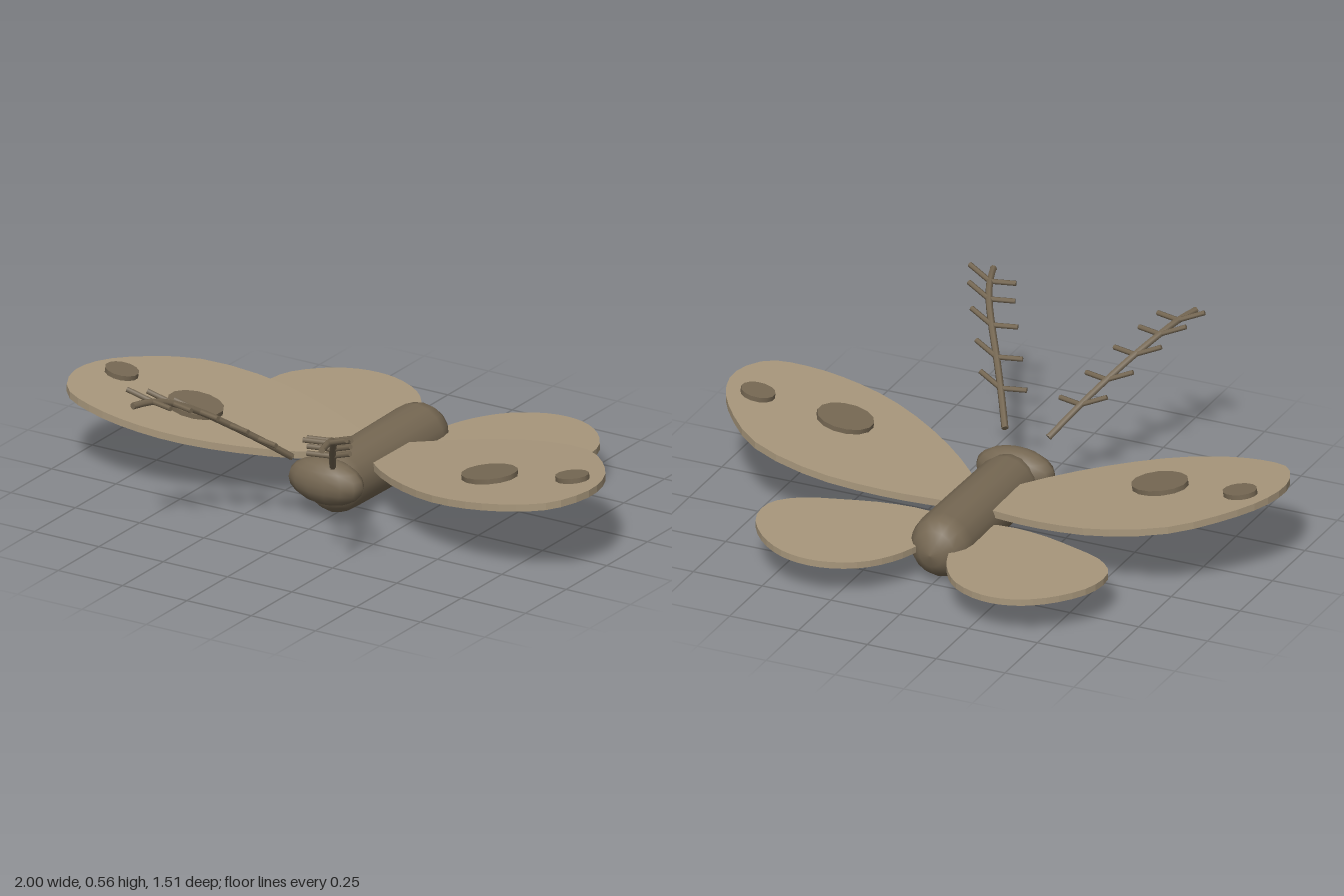
import * as THREE from 'three';

const wingMat = new THREE.MeshStandardMaterial({ color: 0xa8977c });
wingMat.name = 'wing tan';
const bodyMat = new THREE.MeshStandardMaterial({ color: 0x766853 });
bodyMat.name = 'body brown';

const FORE_TOP = 0.155, FORE_SLOPE = 0.15;

// outlines as [x, z] seen from above, for the left side
const FORE = [[0.02, -0.1], [0.05, -0.2], [0.13, -0.24], [0.3, -0.295], [0.52, -0.325], [0.75, -0.275],
  [0.9, -0.14], [0.98, -0.01], [0.998, 0.12], [0.94, 0.245], [0.83, 0.29], [0.68, 0.3], [0.5, 0.265], [0.3, 0.165], [0.12, 0.025]];
const HIND = [[0.03, -0.32], [0.1, -0.25], [0.25, -0.255], [0.42, -0.31], [0.55, -0.37], [0.615, -0.45],
  [0.61, -0.565], [0.54, -0.67], [0.45, -0.735], [0.36, -0.757], [0.27, -0.745], [0.17, -0.69], [0.1, -0.6], [0.06, -0.5]];

function add(group, name, geometry, material) {
  const mesh = new THREE.Mesh(geometry, material);
  mesh.name = name;
  group.add(mesh);
  return mesh;
}

// flat plate from an outline, sheared so it rises towards the tip
function wingGeometry(outline, s, top, slope, thick) {
  const curve = new THREE.CatmullRomCurve3(outline.map(([x, z]) => new THREE.Vector3(s * x, -z, 0)), true);
  const shape = new THREE.Shape(curve.getPoints(36).slice(0, -1).map(p => new THREE.Vector2(p.x, p.y)));
  const g = new THREE.ExtrudeGeometry(shape, { depth: thick, bevelEnabled: false });
  g.rotateX(-Math.PI / 2);
  const p = g.attributes.position;
  for (let i = 0; i < p.count; i++) p.setY(i, p.getY(i) + top - thick + slope * Math.abs(p.getX(i)));
  g.computeVertexNormals();
  return g;
}

// straight thin rod between two points
function rodGeometry(a, b, r) {
  const d = b.clone().sub(a);
  const g = new THREE.CylinderGeometry(r, r, d.length(), 6);
  g.applyQuaternion(new THREE.Quaternion().setFromUnitVectors(new THREE.Vector3(0, 1, 0), d.normalize()));
  const m = a.clone().add(b).multiplyScalar(0.5);
  return g.translate(m.x, m.y, m.z);
}

function antenna(s) {
  const group = new THREE.Group();
  const v = (x, y, z) => new THREE.Vector3(s * x, y, z);
  const path = new THREE.CatmullRomCurve3([v(0.08, 0.235, 0.23), v(0.145, 0.32, 0.335), v(0.2, 0.385, 0.42),
    v(0.26, 0.45, 0.51), v(0.31, 0.497, 0.595), v(0.342, 0.522, 0.67), v(0.367, 0.528, 0.75)]);
  add(group, 'antennaStem', new THREE.TubeGeometry(path, 16, 0.012, 6), bodyMat);
  // end caps of the stem
  for (const t of [0, 1]) {
    const c = path.getPointAt(t), d = path.getTangentAt(t).multiplyScalar(0.002);
    add(group, 'antennaEnd', rodGeometry(c.clone().sub(d), c.clone().add(d), 0.012), bodyMat);
  }
  // paired barbs swept forward
  for (const c of path.points.slice(1, 6)) {
    add(group, 'outerBarb', rodGeometry(c, c.clone().add(v(0.085, 0.034, 0.024)), 0.009), bodyMat);
    add(group, 'innerBarb', rodGeometry(c, c.clone().add(v(-0.085, 0, 0.022)), 0.009), bodyMat);
  }
  return group;
}

export function createModel() {
  const model = new THREE.Group();
  model.name = 'moth';

  // body: long capsule, slightly slimmer at the front
  const profile = [];
  for (let i = 0; i <= 4; i++) {
    const a = i * Math.PI / 8;
    profile.push(new THREE.Vector2(0.104 * Math.sin(a), -0.07 - 0.104 * Math.cos(a)));
  }
  for (let i = 4; i >= 0; i--) {
    const a = i * Math.PI / 8;
    profile.push(new THREE.Vector2(0.11 * Math.sin(a), 0.41 + 0.11 * Math.cos(a)));
  }
  const body = new THREE.LatheGeometry(profile, 16);
  body.rotateX(-Math.PI / 2);
  add(model, 'body', body, bodyMat).position.y = 0.112;

  // head: wide flattened ball
  const head = add(model, 'head', new THREE.SphereGeometry(1, 14, 10), bodyMat);
  head.scale.set(0.142, 0.08, 0.07);
  head.position.set(0, 0.137, 0.143);

  for (const s of [1, -1]) {
    const side = s > 0 ? 'left' : 'right';
    add(model, side + 'Forewing', wingGeometry(FORE, s, FORE_TOP, FORE_SLOPE, 0.025), wingMat);
    add(model, side + 'Hindwing', wingGeometry(HIND, s, 0.125, 0.04, 0.023), wingMat);

    // raised round wing spots: x, z, radius along x, radius along z
    for (const [x, z, rx, rz] of [[0.572, 0.043, 0.098, 0.085], [0.876, 0.015, 0.059, 0.051]]) {
      const spot = add(model, side + 'WingSpot', new THREE.CylinderGeometry(1, 1, 0.024, 14), bodyMat);
      spot.scale.set(rx, 1, rz);
      spot.rotation.z = s * Math.atan(FORE_SLOPE);
      spot.position.set(s * x, FORE_TOP + FORE_SLOPE * x + 0.005, z);
    }

    const feeler = antenna(s);
    feeler.name = side + 'Antenna';
    model.add(feeler);
  }
  return model;
}
